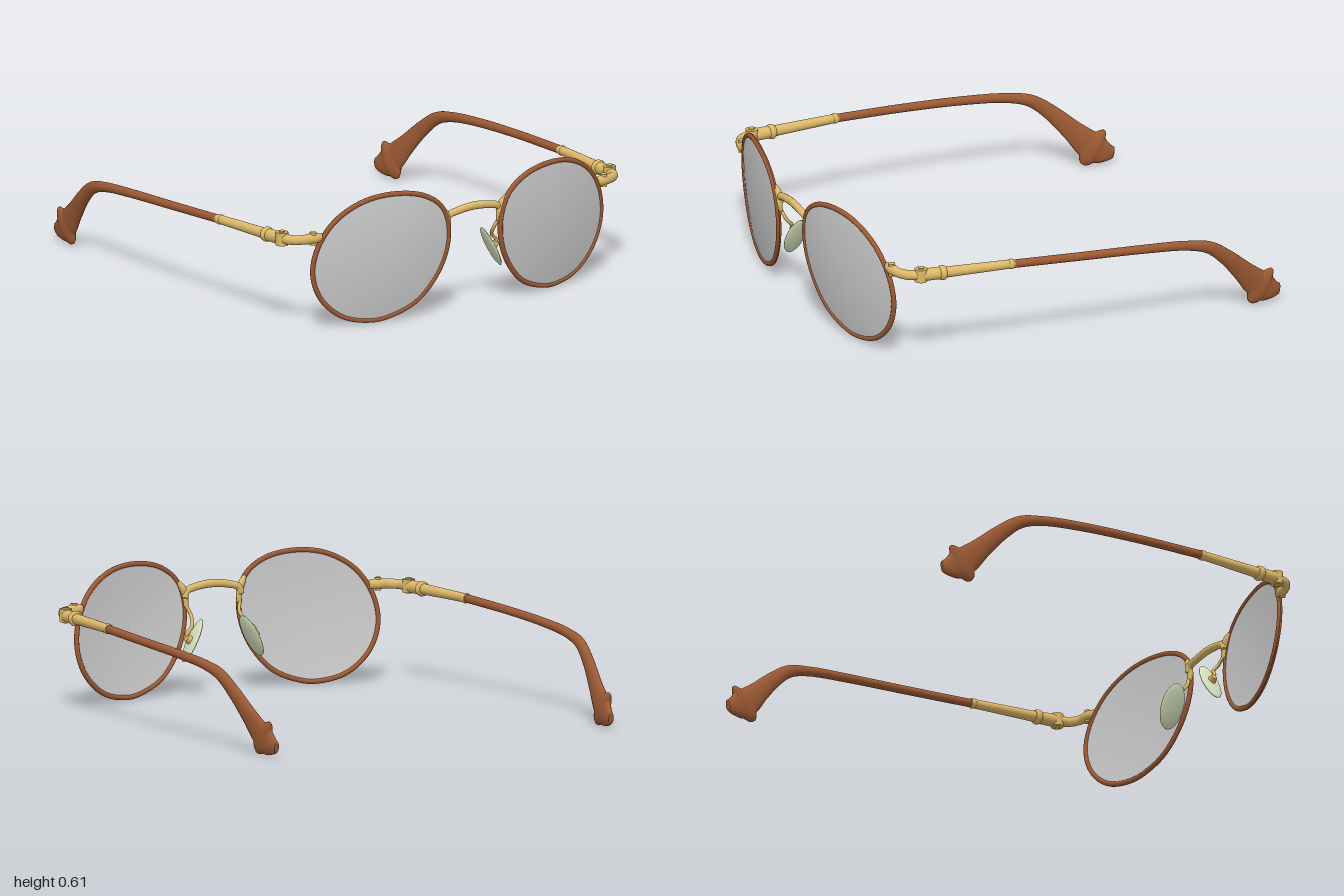
import * as THREE from 'three';

const BROWN = 0x9c5a34, GOLD = 0xdcb868, PAD = 0xd6e2bd, GREY = 0xcccccc;
const V = (x, y, z) => new THREE.Vector3(x, y, z);

const mat = (color) => new THREE.MeshStandardMaterial({ color, side: THREE.DoubleSide });

// Mirrors a geometry across x = 0 and keeps its faces outward
function mirrored(geo) {
  const g = geo.clone().scale(-1, 1, 1);
  const ix = g.index;
  for (let i = 0; i < ix.count; i += 3) {
    const a = ix.getX(i);
    ix.setX(i, ix.getX(i + 2));
    ix.setX(i + 2, a);
  }
  g.computeVertexNormals();
  return g;
}

// Sweeps an ellipse along points [x, y, z, half width, half height], capped at both ends
function sweep(stations, steps, sides, sideAxis) {
  const path = new THREE.CatmullRomCurve3(stations.map((s) => V(s[0], s[1], s[2])));
  const size = new THREE.CatmullRomCurve3(stations.map((s) => V(s[3], s[4], 0)));
  const pos = [], idx = [];
  for (let i = 0; i <= steps; i++) {
    const t = i / steps, p = path.getPoint(t), r = size.getPoint(t);
    const T = path.getTangent(t);
    const S = sideAxis.clone().addScaledVector(T, -T.dot(sideAxis)).normalize();
    const U = T.clone().cross(S);
    for (let j = 0; j < sides; j++) {
      const a = (j / sides) * Math.PI * 2;
      const q = p.clone().addScaledVector(S, Math.cos(a) * r.x).addScaledVector(U, Math.sin(a) * r.y);
      pos.push(q.x, q.y, q.z);
      if (i < steps) {
        const A = i * sides + j, B = i * sides + ((j + 1) % sides);
        idx.push(A, B, A + sides, B, B + sides, A + sides);
      }
    }
  }
  [0, steps].forEach((i) => {
    const c = pos.length / 3, p = path.getPoint(i / steps);
    pos.push(p.x, p.y, p.z);
    for (let j = 0; j < sides; j++) {
      const A = i * sides + j, B = i * sides + ((j + 1) % sides);
      idx.push(c, i ? A : B, i ? B : A);
    }
  });
  const g = new THREE.BufferGeometry();
  g.setAttribute('position', new THREE.Float32BufferAttribute(pos, 3));
  g.setIndex(idx);
  g.computeVertexNormals();
  return g;
}

// Tapered cylinder between two points
function rod(a, b, ra, rb, sides = 20) {
  const d = b.clone().sub(a);
  const g = new THREE.CylinderGeometry(rb, ra, d.length(), sides);
  g.applyQuaternion(new THREE.Quaternion().setFromUnitVectors(V(0, 1, 0), d.normalize()));
  const m = a.clone().add(b).multiplyScalar(0.5);
  return g.translate(m.x, m.y, m.z);
}

// Lens outline, bent back towards the temples and tipped forward at the top
const outline = new THREE.CatmullRomCurve3([
  [0.42, 0.6], [0.27, 0.572], [0.175, 0.5], [0.14, 0.37], [0.175, 0.22], [0.28, 0.085],
  [0.41, 0.027], [0.5, 0.018], [0.63, 0.05], [0.735, 0.145], [0.778, 0.27], [0.755, 0.4],
  [0.68, 0.51], [0.56, 0.58],
].map(([x, y]) => V(x, y, 0)), true);
function bend(p, bulge = 0) {
  const t = (p.x - 0.13) / 0.655;
  p.z = 0.976 - 0.2 * (p.x - 0.14) + 0.08 * (p.y - 0.31) + 0.05 * t * (1 - t) + bulge;
  return p;
}

// Domed disc filling the outline
function lensShell(height, offset, front) {
  const n = 72, rings = 10, pos = [], idx = [];
  const c = V(0.46, 0.31, 0);
  for (let r = 0; r <= rings; r++) {
    const k = Math.sin((r / rings) * Math.PI / 2);
    for (let j = 0; j < n; j++) {
      const p = bend(c.clone().lerp(outline.getPoint(j / n), k), offset + height * (1 - k * k));
      pos.push(p.x, p.y, p.z);
      if (r < rings) {
        const A = r * n + j, B = r * n + ((j + 1) % n);
        if (front) idx.push(A, A + n, B, B, A + n, B + n);
        else idx.push(A, B, A + n, B, B + n, A + n);
      }
    }
  }
  const g = new THREE.BufferGeometry();
  g.setAttribute('position', new THREE.Float32BufferAttribute(pos, 3));
  g.setIndex(idx);
  g.computeVertexNormals();
  return g;
}

export function createModel() {
  const model = new THREE.Group();
  model.name = 'eyeglasses';
  const add = (parent, name, geo, color) => {
    const m = new THREE.Mesh(geo, mat(color));
    m.name = name;
    parent.add(m);
  };
  const left = new THREE.Group(), right = new THREE.Group();
  left.name = 'leftHalf';
  right.name = 'rightHalf';
  model.add(left, right);
  const pair = (name, geo, color) => {
    add(left, name, geo, color);
    add(right, name, mirrored(geo), color);
  };

  // Lenses and rims
  pair('lensFront', lensShell(0.022, 0.004, true), GREY);
  pair('lensBack', lensShell(0.016, -0.004, false), GREY);
  const rimPath = new THREE.CatmullRomCurve3(
    Array.from({ length: 48 }, (_, i) => bend(outline.getPoint(i / 48))), true);
  pair('rim', new THREE.TubeGeometry(rimPath, 120, 0.0115, 10, true), BROWN);

  // Bridge with a clamp running down the inner rim
  add(model, 'bridge', sweep([
    [-0.145, 0.425, 0.968, 0.013, 0.013], [-0.135, 0.455, 0.972, 0.016, 0.016], [-0.09, 0.47, 0.976, 0.016, 0.017],
    [0, 0.48, 0.978, 0.016, 0.018], [0.09, 0.47, 0.976, 0.016, 0.017],
    [0.135, 0.455, 0.972, 0.016, 0.016], [0.145, 0.425, 0.968, 0.013, 0.013],
  ], 48, 14, V(0, 0, 1)), GOLD);
  pair('bridgeClamp', sweep([
    [0.172, 0.5, 0.982, 0.008, 0.008], [0.15, 0.465, 0.976, 0.016, 0.016],
    [0.139, 0.43, 0.976, 0.014, 0.014], [0.137, 0.385, 0.972, 0.01, 0.01],
  ], 16, 12, V(0, 0, 1)), GOLD);

  // Nose pads on curved arms
  const arm = new THREE.CatmullRomCurve3([
    V(0.138, 0.39, 0.968), V(0.125, 0.35, 0.95), V(0.14, 0.31, 0.915), V(0.175, 0.275, 0.9), V(0.165, 0.25, 0.893)]);
  pair('nosePadArm', new THREE.TubeGeometry(arm, 24, 0.008, 8), GOLD);
  const boss = rod(V(0.185, 0.26, 0.892), V(0.158, 0.246, 0.892), 0.014, 0.022, 16);
  pair('nosePadMount', boss, GOLD);
  const pad = new THREE.SphereGeometry(1, 28, 18).scale(0.013, 0.104, 0.054);
  pad.rotateY(-0.15).rotateZ(0.48).translate(0.153, 0.246, 0.892);
  pair('nosePad', pad, PAD);

  // End pieces bending round to the hinges
  pair('endPiece', sweep([
    [0.742, 0.434, 0.863, 0.02, 0.014], [0.785, 0.434, 0.857, 0.024, 0.024], [0.83, 0.433, 0.848, 0.022, 0.018],
    [0.868, 0.431, 0.818, 0.022, 0.02], [0.885, 0.43, 0.765, 0.024, 0.025],
  ], 32, 14, V(0, 1, 0)), GOLD);
  pair('endPieceScrew', rod(V(0.785, 0.405, 0.859), V(0.785, 0.463, 0.859), 0.015, 0.015, 16), GOLD);
  pair('hingeKnuckle', rod(V(0.886, 0.4, 0.764), V(0.886, 0.459, 0.764), 0.028, 0.028), GOLD);
  pair('hingeScrew', rod(V(0.886, 0.395, 0.764), V(0.886, 0.465, 0.764), 0.014, 0.014, 16), GOLD);

  // Metal front of the temples with its collars
  const start = V(0.887, 0.428, 0.765), end = V(0.925, 0.422, 0.33);
  const at = (z) => start.clone().lerp(end, (0.765 - z) / 0.435);
  pair('templeSleeve', rod(start, end, 0.026, 0.02), GOLD);
  pair('hingeBarrel', rod(at(0.75), at(0.665), 0.028, 0.028), GOLD);
  [[0.665, 0.029, 0.008], [0.344, 0.02, 0.0065]].forEach(([z, r, w]) => {
    const ring = new THREE.TorusGeometry(r - 0.003, w, 10, 28).scale(1, 1, 1.9).rotateY(-0.08);
    const p = at(z);
    pair('templeCollar', ring.translate(p.x, p.y, p.z), GOLD);
  });

  // Temple arms flaring into flattened ear tips
  pair('templeArm', sweep([
    [0.925, 0.422, 0.345, 0.018, 0.019], [0.941, 0.406, 0, 0.019, 0.019], [0.944, 0.388, -0.3, 0.02, 0.02],
    [0.938, 0.367, -0.5, 0.02, 0.022], [0.93, 0.336, -0.615, 0.021, 0.028], [0.915, 0.265, -0.71, 0.021, 0.036],
    [0.895, 0.175, -0.8, 0.021, 0.048], [0.881, 0.108, -0.867, 0.022, 0.063], [0.873, 0.07, -0.918, 0.022, 0.063],
    [0.868, 0.056, -0.955, 0.018, 0.044], [0.864, 0.051, -0.985, 0.012, 0.026],
  ], 90, 18, V(1, 0, 0)), BROWN);

  return model;
}
